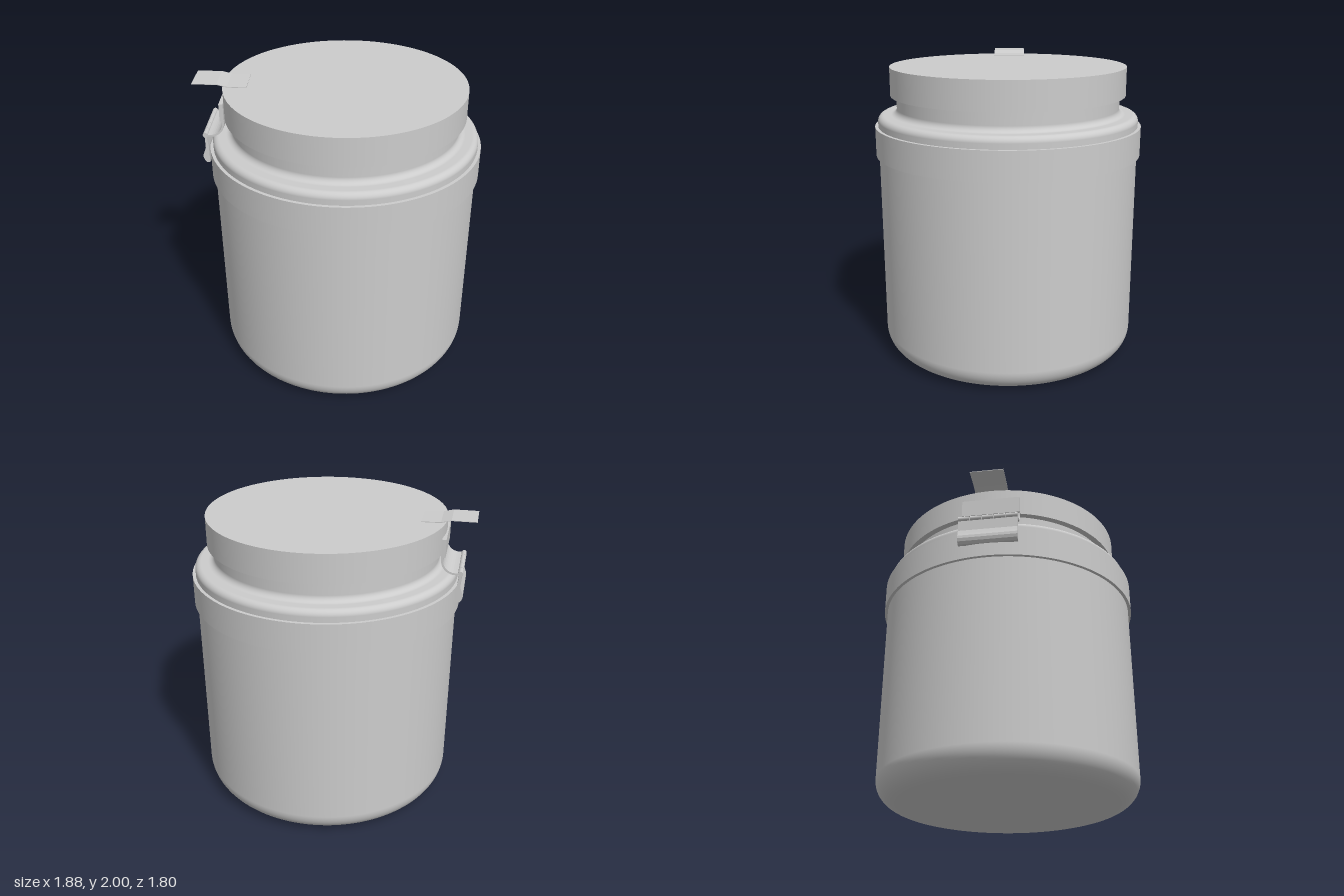
import * as THREE from 'three';

const AXIS_X = 0.038; // the jar sits slightly off centre, balancing the clasp

export function createModel() {
  const model = new THREE.Group();
  const grey = new THREE.MeshStandardMaterial({ color: 0xcccccc });
  grey.name = 'grey';

  const add = (name, geometry, parent = model) => {
    const mesh = new THREE.Mesh(geometry, grey);
    mesh.name = name;
    parent.add(mesh);
    return mesh;
  };

  // Turned parts: a repeated profile point makes a sharp edge
  const turned = (name, points) => {
    const geo = new THREE.LatheGeometry(points.map(([r, y]) => new THREE.Vector2(r, y)), 128);
    add(name, geo).position.x = AXIS_X;
  };
  const arc = (cx, cy, r, from, to, n = 10) => Array.from({ length: n + 1 }, (_, i) => {
    const a = THREE.MathUtils.degToRad(from + (to - from) * i / n);
    return [cx + r * Math.cos(a), cy + r * Math.sin(a)];
  });

  // Jar: rounded base, straight wall, rounded shoulder, filleted neck
  turned('jarBody', [
    [0, 0], [0.727, 0],
    ...arc(0.727, 0.15, 0.15, -90, 0, 14),
    ...arc(0.837, 1.622, 0.04, 0, 90),
    ...arc(0.79, 1.702, 0.04, 270, 180),
    [0.75, 1.8],
  ]);

  const ring = (r, inner, y0, y1) =>
    [[inner, y0], [r, y0], [r, y0], [r, y1], [r, y1], [inner, y1]];
  turned('collarBand', ring(0.898, 0.86, 1.392, 1.586));
  turned('lid', ring(0.79, 0, 1.787, 1.977));

  // Clasp parts: side outlines extruded across z
  const clasp = new THREE.Group();
  clasp.name = 'clasp';
  model.add(clasp);
  const extruded = (name, points, width, z = 0) => {
    const shape = new THREE.Shape(points.map(([x, y]) => new THREE.Vector2(x, y)));
    const geo = new THREE.ExtrudeGeometry(shape, { depth: width, bevelEnabled: false });
    geo.translate(0, 0, z - width / 2);
    return add(name, geo, clasp);
  };

  extruded('claspLidPlate', [[-0.762, 1.78], [-0.735, 1.78], [-0.735, 1.9], [-0.762, 1.9]], 0.39);

  // Curved strap running from the lid plate out to the hinge
  extruded('claspStrap', [
    [-0.736, 1.79],
    ...arc(-0.83, 1.765, 0.094, 0, -90),
    [-0.862, 1.671], [-0.862, 1.684],
    ...arc(-0.83, 1.765, 0.081, -90, 0),
    [-0.749, 1.79],
  ], 0.39);

  // Hinge knuckles
  for (let i = 0; i < 5; i++) {
    const geo = new THREE.CylinderGeometry(0.017, 0.017, 0.074, 20);
    geo.rotateX(Math.PI / 2);
    add('hingeKnuckle', geo, clasp).position.set(-0.864, 1.68, (i - 2) * 0.079);
  }

  // Lower leaf with a swollen finger grip
  extruded('claspLeaf', [
    [-0.848, 1.485], [-0.848, 1.6], [-0.859, 1.68], [-0.869, 1.68], [-0.869, 1.59],
    [-0.88, 1.56], [-0.888, 1.54], [-0.889, 1.52], [-0.882, 1.5], [-0.868, 1.485],
  ], 0.39);

  // Thin pull tab bonded to the lid and overhanging the edge
  extruded('pullTab', [
    [-0.94, 1.996], [-0.78, 1.996], [-0.715, 1.979], [-0.59, 1.976],
    [-0.59, 1.981], [-0.715, 1.984], [-0.78, 2.0], [-0.94, 2.0],
  ], 0.225);

  return model;
}
